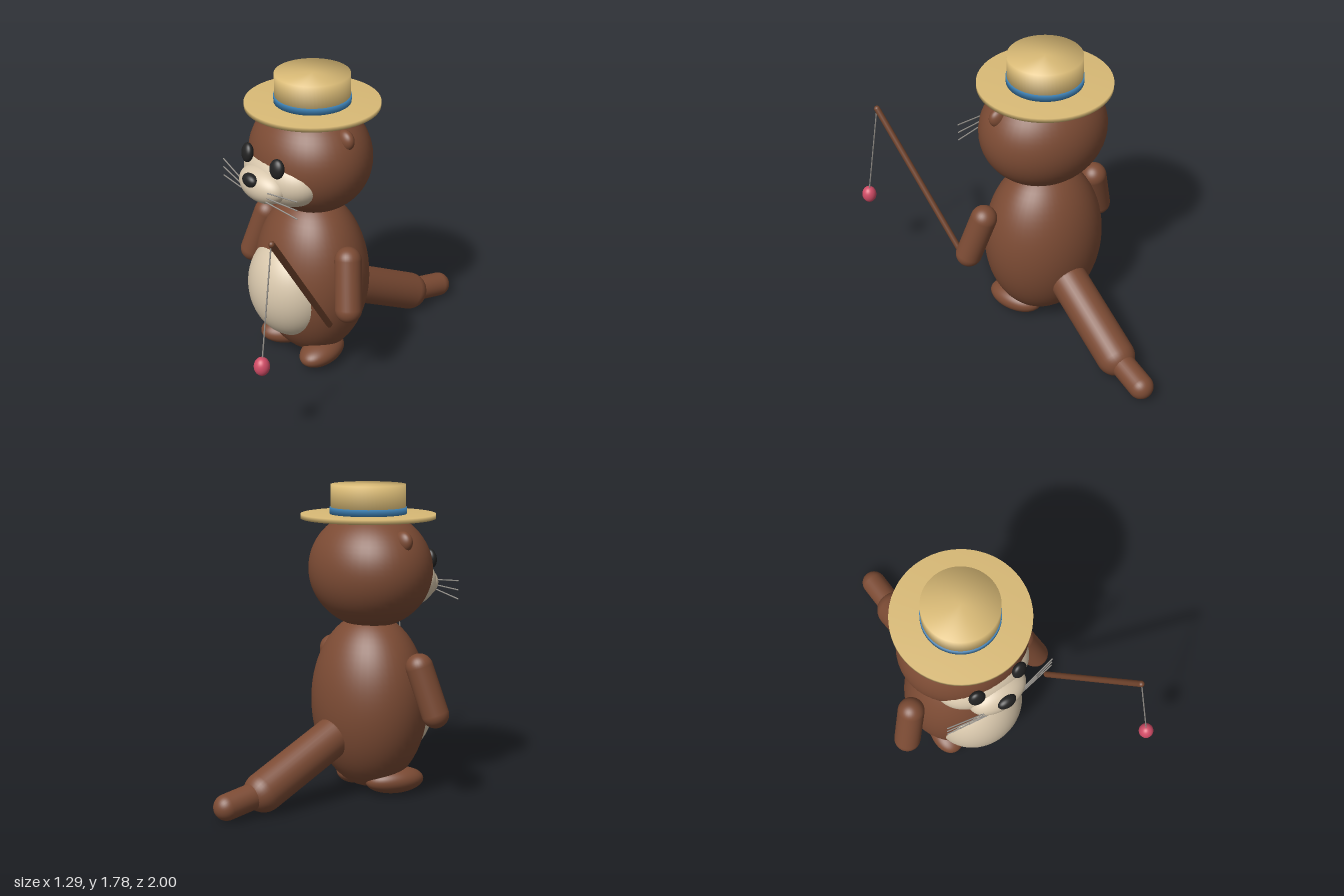
import * as THREE from 'three';

const mat = (name, color) => {
  const m = new THREE.MeshStandardMaterial({ color });
  m.name = name;
  return m;
};

const CX = -0.105; // midline of the animal
const UP = new THREE.Vector3(0, 1, 0);

export function createModel() {
  const fur = mat('brown fur', 0x7c4b34);
  const cream = mat('cream fur', 0xd8c7ac);
  const black = mat('black', 0x222222);
  const straw = mat('straw', 0xd9ba76);
  const blue = mat('blue ribbon', 0x3d7fb2);
  const wood = mat('rod wood', 0x70432c);
  const thread = mat('grey thread', 0x94908a);
  const red = mat('red float', 0xd04c66);

  const model = new THREE.Group();
  model.name = 'otterAngler';

  const add = (name, geometry, material) => {
    const mesh = new THREE.Mesh(geometry, material);
    mesh.name = name;
    model.add(mesh);
    return mesh;
  };
  const ellipsoid = (name, material, [x, y, z], [rx, ry, rz]) => {
    const mesh = add(name, new THREE.SphereGeometry(1, 48, 32), material);
    mesh.position.set(x, y, z);
    mesh.scale.set(rx, ry, rz);
    return mesh;
  };
  // Round-ended rod between the centres of its two caps
  const capsule = (name, material, from, to, radius, sides = 32) => {
    const a = new THREE.Vector3(...from), b = new THREE.Vector3(...to);
    const dir = b.clone().sub(a);
    const mesh = add(name, new THREE.CapsuleGeometry(radius, dir.length(), sides > 12 ? 12 : 3, sides), material);
    mesh.position.copy(a).add(b).multiplyScalar(0.5);
    mesh.quaternion.setFromUnitVectors(UP, dir.normalize());
    return mesh;
  };
  // Solid disc with softly shaded rims
  const disc = (name, material, radius, y0, y1) => {
    const pts = [[0, y0], [radius, y0], [radius, y1], [0, y1]].map(p => new THREE.Vector2(...p));
    const mesh = add(name, new THREE.LatheGeometry(pts, 64), material);
    mesh.position.set(CX, 0, 0.073);
    return mesh;
  };

  // Body, head and face
  ellipsoid('body', fur, [CX, 0.54, 0.085], [0.364, 0.51, 0.32]);
  ellipsoid('belly', cream, [CX, 0.5, 0.24], [0.277, 0.315, 0.24]);
  ellipsoid('head', fur, [CX, 1.307, 0.09], [0.383, 0.337, 0.337]);
  ellipsoid('facePatch', cream, [CX, 1.235, 0.275], [0.29, 0.175, 0.19]);
  ellipsoid('muzzle', cream, [CX, 1.21, 0.42], [0.18, 0.104, 0.11]);
  ellipsoid('nose', black, [CX, 1.257, 0.51], [0.058, 0.04, 0.036]);

  // Mirrored parts
  for (const [side, s] of [['left', 1], ['right', -1]]) {
    const at = (x, y, z) => [CX + s * x, y, z];
    const eye = ellipsoid(side + 'Eye', black, at(0.14, 1.353, 0.427), [0.048, 0.057, 0.031]);
    eye.rotation.set(-0.15, s * 0.2, 0);
    ellipsoid(side + 'Ear', fur, at(0.3, 1.487, 0.077), [0.065, 0.06, 0.041]);
    capsule(side + 'Arm', fur, at(0.389, 0.788, 0.125), at(0.464, 0.522, 0.18), 0.078);
    const foot = ellipsoid(side + 'Foot', fur, at(0.163, 0.086, 0.14), [0.112, 0.078, 0.175]);
    foot.rotation.set(0, s * 0.35, s * 0.12);
    for (const [inner, outer] of [[1.22, 1.243], [1.189, 1.19], [1.163, 1.138]]) {
      capsule(side + 'Whisker', thread, at(0.12, inner, 0.492), at(0.35, outer, 0.45), 0.004, 8);
    }
  }

  // Tail
  capsule('tailBase', fur, [CX, 0.36, -0.19], [CX, 0.125, -0.675], 0.115);
  capsule('tailTip', fur, [CX, 0.112, -0.755], [CX, 0.083, -0.925], 0.074);

  // Boater hat
  disc('hatBrim', straw, 0.385, 1.598, 1.624);
  disc('hatCrown', straw, 0.214, 1.61, 1.79);
  disc('hatBand', blue, 0.219, 1.62, 1.662);

  // Fishing rod, line and float
  capsule('fishingRod', wood, [0.352, 0.47, 0.313], [0.56, 1.25, 0.847], 0.018, 16);
  capsule('fishingLine', thread, [0.56, 1.25, 0.85], [0.603, 0.6, 0.955], 0.004, 8);
  ellipsoid('float', red, [0.603, 0.577, 0.957], [0.043, 0.053, 0.043]);

  return model;
}
